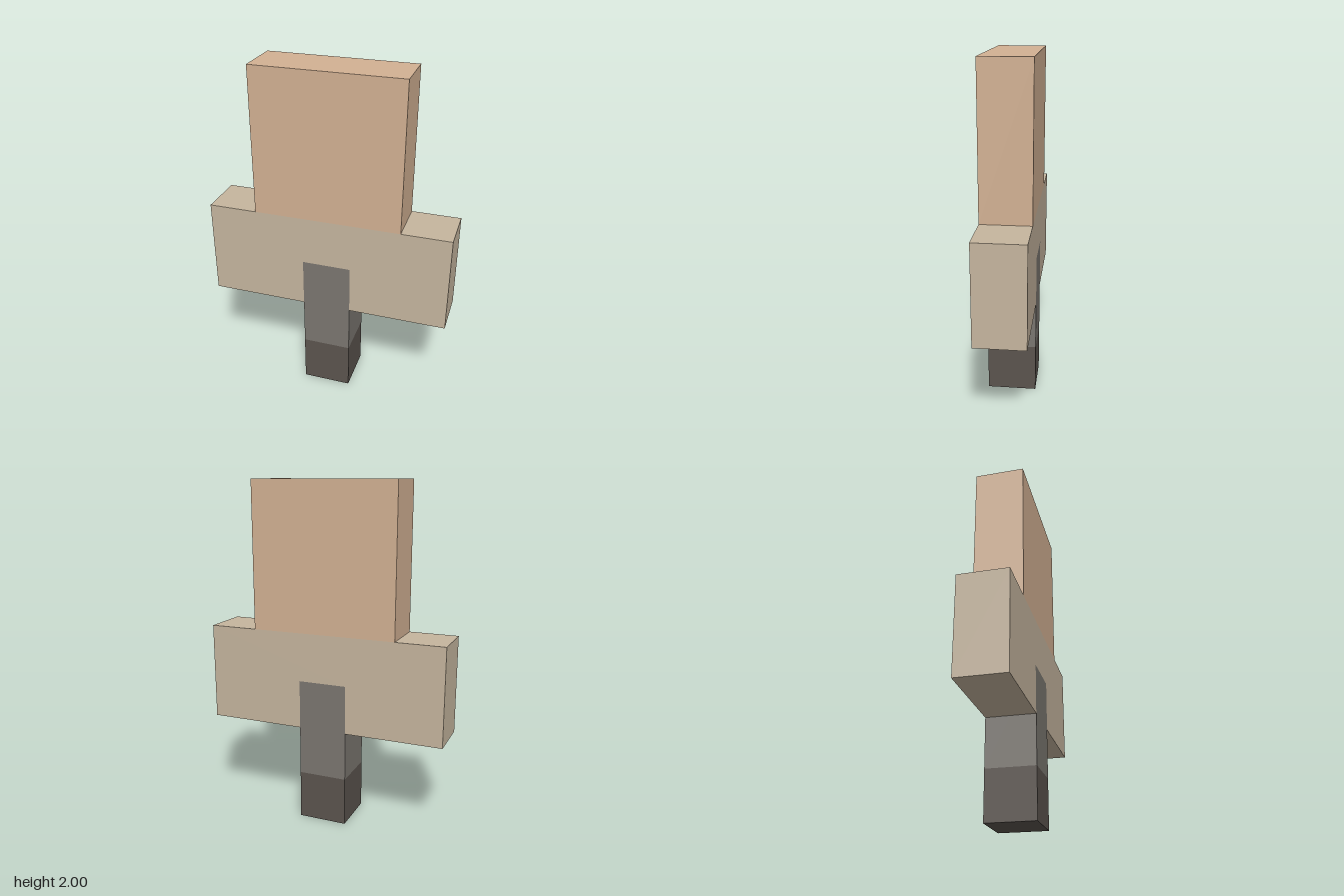
import * as THREE from 'three';

const U = 1 / 7; // module size: every part is a whole number of these

function material(color) {
  return new THREE.MeshStandardMaterial({ color, flatShading: true });
}

// Block centred on x and z, spanning y0..y1 (in modules)
function block(name, halfWidth, y0, y1, color) {
  const geometry = new THREE.BoxGeometry(2 * halfWidth * U, (y1 - y0) * U, 2 * U);
  geometry.translate(0, ((y0 + y1) / 2) * U, 0);
  const mesh = new THREE.Mesh(geometry, material(color));
  mesh.name = name;
  return mesh;
}

export function createModel() {
  const model = new THREE.Group();
  model.name = 'model';

  // Handle: dark grip below, grey shaft set flush into the crosspiece
  model.add(block('handleGrip', 1, 0, 2, 0x5b544e));
  model.add(block('handleShaft', 1, 2, 6, 0x7a7670));

  // Crosspiece, notched underneath to receive the shaft
  const outline = [[-5, 4], [-1, 4], [-1, 6], [1, 6], [1, 4], [5, 4], [5, 8], [-5, 8]];
  const shape = new THREE.Shape(outline.map(([x, y]) => new THREE.Vector2(x * U, y * U)));
  const geometry = new THREE.ExtrudeGeometry(shape, { depth: 2 * U, bevelEnabled: false });
  geometry.translate(0, 0, -U);
  const crosspiece = new THREE.Mesh(geometry, material(0xc5b59e));
  crosspiece.name = 'crosspiece';
  model.add(crosspiece);

  // Upper panel
  model.add(block('upperPanel', 3, 8, 14, 0xd2b193));

  return model;
}
